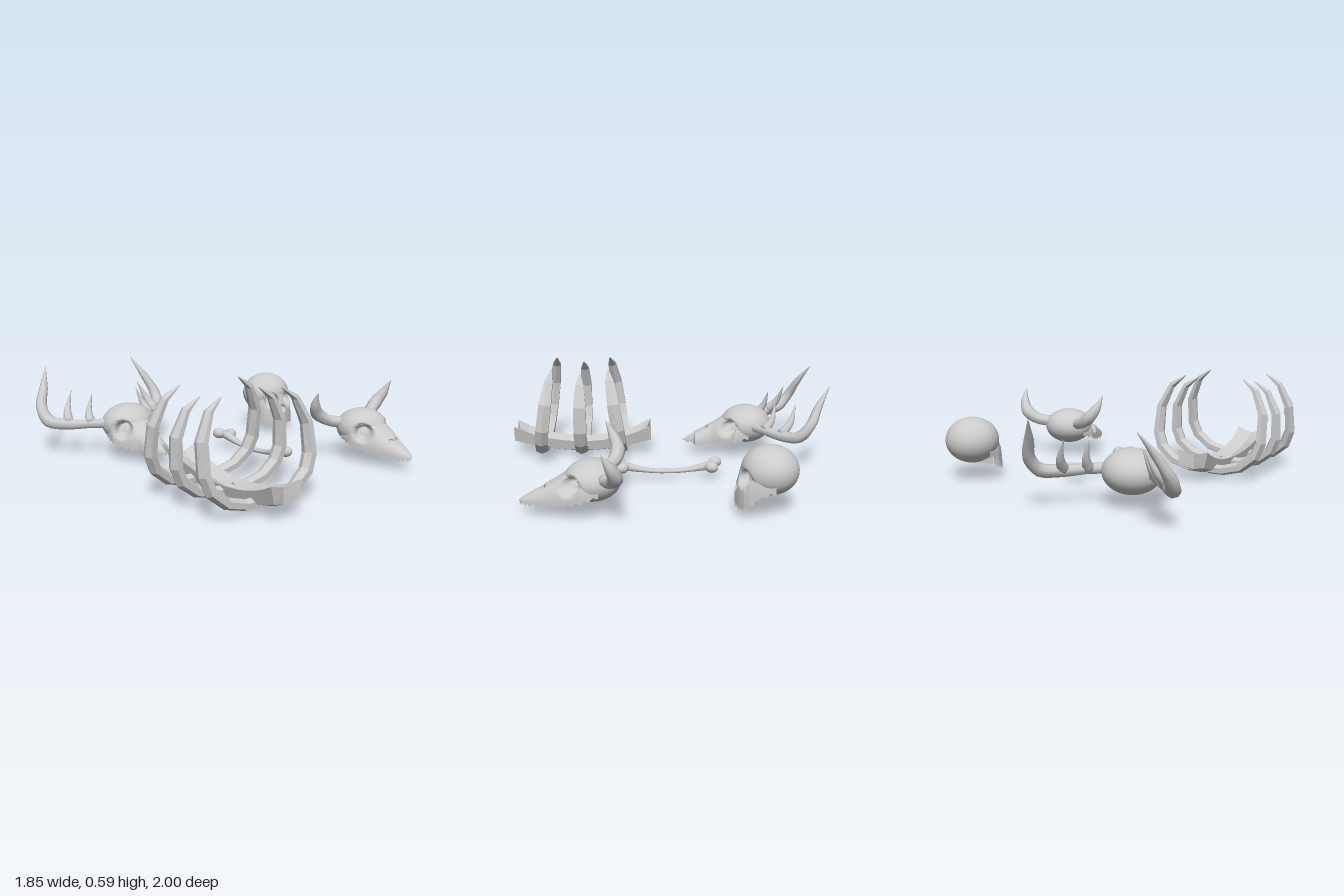
import * as THREE from 'three';

const V = (x, y, z) => new THREE.Vector3(x, y, z);
const smooth = new THREE.MeshStandardMaterial({ color: 0xcccccc, side: THREE.DoubleSide });
const faceted = new THREE.MeshStandardMaterial({ color: 0xcccccc, side: THREE.DoubleSide, flatShading: true });

function part(parent, name, geometry, material = smooth) {
  const mesh = new THREE.Mesh(geometry, material);
  mesh.name = name;
  parent.add(mesh);
  return mesh;
}

// Skins a list of rings of points; closed joins each ring end to its start
function loft(rings, closed) {
  const m = rings[0].length, index = [];
  for (let i = 0; i < rings.length - 1; i++) {
    for (let j = 0; j < (closed ? m : m - 1); j++) {
      const k = (j + 1) % m, a = i * m, b = a + m;
      index.push(a + j, a + k, b + j, a + k, b + k, b + j);
    }
  }
  const g = new THREE.BufferGeometry().setFromPoints(rings.flat());
  g.setIndex(index);
  g.computeVertexNormals();
  return g;
}

// Tapered oval sweep: radii are [along ref, across ref], spread over the path
function sweep(points, radii, ref, steps, sides) {
  const curve = new THREE.CatmullRomCurve3(points), rings = [];
  const ring = (u, scale) => {
    const t = curve.getTangent(u), c = curve.getPoint(u);
    const s = ref.clone().addScaledVector(t, -ref.dot(t)).normalize();
    const n = t.clone().cross(s);
    const f = u * (radii.length - 1), i = Math.min(Math.floor(f), radii.length - 2);
    const r = [0, 1].map((k) => scale * THREE.MathUtils.lerp(radii[i][k], radii[i + 1][k], f - i));
    rings.push(Array.from({ length: sides }, (_, j) => {
      const a = -2 * Math.PI * j / sides;
      return c.clone().addScaledVector(n, r[1] * Math.cos(a)).addScaledVector(s, r[0] * Math.sin(a));
    }));
  };
  ring(0, 0);
  for (let i = 0; i <= steps; i++) ring(i / steps, 1);
  ring(1, 0);
  return loft(rings, true);
}

// Pushes vertices near each hollow toward the skull's middle
function hollow(g, dents, middle) {
  const pos = g.attributes.position, p = V(0, 0, 0);
  for (let i = 0; i < pos.count; i++) {
    p.fromBufferAttribute(pos, i);
    for (const { c, r, depth } of dents) {
      const f = Math.min(1, Math.max(0, 1 - p.distanceTo(c) / r) * 2.5);
      if (f > 0) p.addScaledVector(middle.clone().sub(c).normalize(), f * depth);
    }
    pos.setXYZ(i, p.x, p.y, p.z);
  }
  g.computeVertexNormals();
  return g;
}

// Skull: ellipsoid braincase plus an arched face shell, open below.
// Face sections are [z, half width, top y, bottom y].
function skull(name, x, { middle, radii, sections, dents }) {
  const group = new THREE.Group();
  group.name = name;
  group.position.x = x;
  const brain = new THREE.SphereGeometry(1, 48, 36).scale(...radii).translate(middle.x, middle.y, middle.z);
  part(group, 'cranium', hollow(brain, dents, middle));

  const rings = [], m = 56, n = 8;
  const arch = (s, tooth) => Array.from({ length: m + 1 }, (_, j) => {
    const a = Math.PI * j / m, c = Math.cos(a), edge = j === 0 || j === m;
    return V(s[1] * Math.sign(c) * Math.abs(c) ** 0.8,
      s[3] + (s[2] - s[3]) * Math.max(0, Math.sin(a)) ** 0.8 - (edge ? tooth : 0), s[0]);
  });
  for (let i = 0; i < sections.length - 1; i++) {
    for (let k = 0; k < n; k++) {
      const s = sections[i].map((v, q) => THREE.MathUtils.lerp(v, sections[i + 1][q], k / n));
      rings.push(arch(s, k % 4 < 2 ? 0.012 : 0));
    }
  }
  rings.push(arch(sections.at(-1), 0));
  part(group, 'face', hollow(loft(rings, false), dents, middle));
  return group;
}

const pair = (x, y, z, r, depth) => [1, -1].map((s) => ({ c: V(s * x, y, z), r, depth }));

function antlerSkull() {
  const g = skull('antleredSkull', -0.475, {
    middle: V(0, 0.19, -0.515), radii: [0.163, 0.123, 0.163],
    sections: [[-0.52, 0.15, 0.26, 0.13], [-0.43, 0.165, 0.255, 0.11], [-0.36, 0.125, 0.23, 0.085],
      [-0.28, 0.078, 0.185, 0.075], [-0.18, 0.075, 0.13, 0.06], [-0.172, 0.036, 0.125, 0.07], [-0.1, 0.002, 0.085, 0.075]],
    dents: [...pair(0.118, 0.185, -0.385, 0.06, 0.065), ...pair(0.018, 0.16, -0.235, 0.022, 0.025)],
  });
  for (const s of [1, -1]) {
    const path = (list) => list.map(([x, y, z]) => V(s * x, y, z));
    const up = V(0, 1, 0.3).normalize();
    part(g, 'antler', sweep(
      path([[0.12, 0.2, -0.54], [0.22, 0.195, -0.62], [0.32, 0.19, -0.71], [0.395, 0.205, -0.8],
        [0.41, 0.28, -0.865], [0.365, 0.39, -0.92], [0.31, 0.505, -0.995]]),
      [[0.032, 0.032], [0.028, 0.026], [0.034, 0.034], [0.038, 0.04], [0.032, 0.036], [0.022, 0.026], [0.002, 0.002]],
      up, 24, 8));
    // tines
    for (const t of [[[0.21, 0.2, -0.615], [0.195, 0.26, -0.66], [0.157, 0.365, -0.685]],
      [[0.31, 0.2, -0.705], [0.285, 0.27, -0.765], [0.237, 0.38, -0.8]]]) {
      part(g, 'antlerTine', sweep(path(t), [[0.034, 0.034], [0.022, 0.022], [0.001, 0.001]], V(s, 0, 0), 8, 8));
    }
  }
  return g;
}

function hornedSkull() {
  const g = skull('hornedSkull', 0.6, {
    middle: V(0, 0.185, 0.435), radii: [0.155, 0.115, 0.155],
    sections: [[0.4, 0.145, 0.265, 0.14], [0.49, 0.157, 0.262, 0.11], [0.58, 0.124, 0.225, 0.085],
      [0.68, 0.085, 0.165, 0.07], [0.77, 0.048, 0.115, 0.062], [0.815, 0.024, 0.09, 0.062], [0.832, 0.002, 0.072, 0.066]],
    dents: [...pair(0.118, 0.185, 0.56, 0.06, 0.065), ...pair(0.02, 0.14, 0.715, 0.028, 0.03)],
  });
  for (const s of [1, -1]) {
    part(g, 'horn', sweep(
      [V(s * 0.11, 0.215, 0.37), V(s * 0.18, 0.23, 0.325), V(s * 0.25, 0.275, 0.305), V(s * 0.295, 0.34, 0.33), V(s * 0.315, 0.425, 0.375)],
      [[0.04, 0.035], [0.038, 0.035], [0.042, 0.04], [0.03, 0.03], [0.001, 0.001]], V(0, 0.3, 1).normalize(), 16, 8));
  }
  return g;
}

function roundSkull() {
  return skull('roundSkull', 0.63, {
    middle: V(0, 0.24, -0.515), radii: [0.157, 0.135, 0.157],
    sections: [[-0.53, 0.145, 0.33, 0.16], [-0.44, 0.138, 0.325, 0.13], [-0.39, 0.12, 0.3, 0.07],
      [-0.365, 0.1, 0.27, 0.055], [-0.35, 0.075, 0.22, 0.055], [-0.338, 0.045, 0.175, 0.055], [-0.328, 0.002, 0.14, 0.055]],
    dents: [...pair(0.068, 0.21, -0.365, 0.052, 0.055), { c: V(0, 0.15, -0.335), r: 0.028, depth: 0.035 }],
  });
}

function ribcage() {
  const g = new THREE.Group();
  g.name = 'ribcage';
  g.position.x = -0.508;
  // bowed, grooved backbone flaring at both ends
  const rings = [], n = 12;
  const section = (u, k) => {
    const e = Math.abs(u), w = 0.072 + 0.028 * e ** 3, yb = 0.075 * e * e, yt = 0.085 + 0.105 * e ** 2.2;
    const z = 0.555 + 0.445 * u, zc = z - 0.025 * u * e ** 8;
    const mid = V(0, yt - 0.03, zc);
    return [V(w, yt, z), mid, V(-w, yt, z), V(-w * 0.8, yb + 0.02, z), V(0, yb, zc), V(w * 0.8, yb + 0.02, z)]
      .map((p) => p.lerp(V(0, (yt + yb) / 2, zc), k));
  };
  rings.push(section(-1, 1));
  for (let i = 0; i <= n; i++) rings.push(section(2 * i / n - 1, 0));
  rings.push(section(1, 1));
  part(g, 'backbone', loft(rings, true), faceted);

  // three pairs of ribs; the outer pairs lean toward the middle
  for (const [z, lean, h] of [[0.815, -0.08, 1], [0.555, 0, 0.95], [0.295, 0.085, 1]]) {
    for (const s of [1, -1]) {
      const path = [[0.02, 0.05], [0.11, 0.05], [0.22, 0.08], [0.305, 0.15], [0.338, 0.235], [0.335, 0.395], [0.275, 0.53], [0.19, 0.592]]
        .map(([x, y]) => V(s * x, y * h, z + lean * (y / 0.59) ** 1.3));
      part(g, 'rib', sweep(path,
        [[0.035, 0.03], [0.04, 0.03], [0.042, 0.032], [0.044, 0.034], [0.046, 0.032], [0.044, 0.028], [0.03, 0.02], [0.004, 0.003]],
        V(0, 0, 1), 7, 6), faceted);
    }
  }
  return g;
}

function looseBone() {
  const g = new THREE.Group();
  g.name = 'looseBone';
  part(g, 'shaft', sweep([V(0.073, 0.085, -0.25), V(0.071, 0.055, -0.12), V(0.07, 0.045, 0.02), V(0.071, 0.055, 0.16), V(0.073, 0.085, 0.29)],
    [[0.032, 0.03], [0.021, 0.015], [0.019, 0.013], [0.021, 0.015], [0.032, 0.03]], V(1, 0, 0), 16, 10));
  // paired end knobs
  for (const [x, y, z, turn] of [[0.038, 0.09, -0.27, 0.4], [0.112, 0.08, -0.245, -0.5], [0.036, 0.09, 0.31, -0.5], [0.11, 0.08, 0.288, 0.4]]) {
    const knob = part(g, 'knob', new THREE.SphereGeometry(1, 14, 10));
    knob.scale.set(0.034, 0.033, 0.042);
    knob.rotation.y = turn;
    knob.position.set(x, y, z);
  }
  return g;
}

export function createModel() {
  const model = new THREE.Group();
  model.name = 'boneCollection';
  model.add(ribcage(), antlerSkull(), looseBone(), hornedSkull(), roundSkull());
  return model;
}
